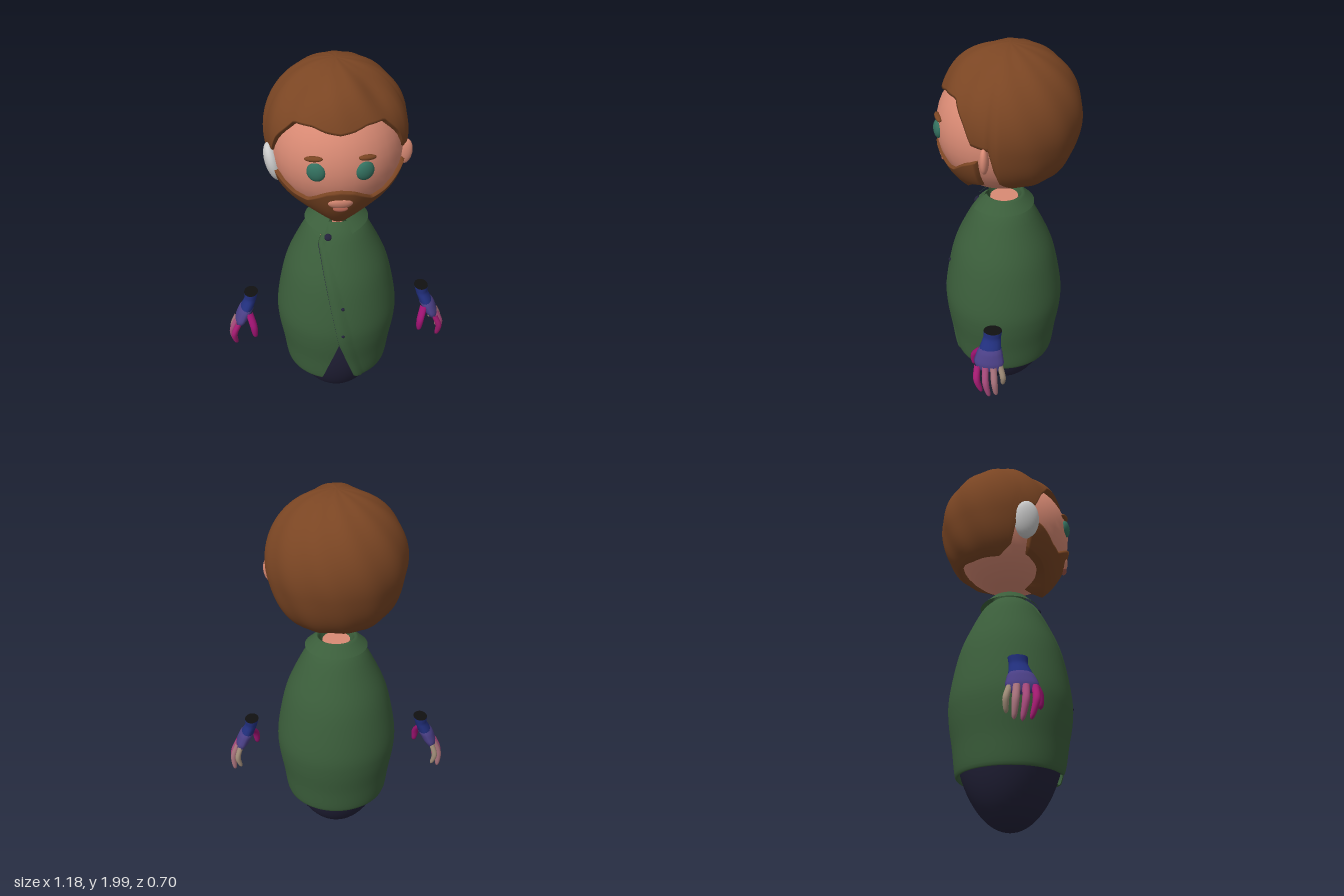
import * as THREE from 'three';
import { mergeVertices } from 'three/addons/utils/BufferGeometryUtils.js';
import { ParametricGeometry } from 'three/addons/geometries/ParametricGeometry.js';

const mat = (color, side = THREE.FrontSide) => new THREE.MeshStandardMaterial({ color, side });
const HAIR = 0x7a4523, SKIN = 0xd98a74, GREEN = 0x3b5e3b, NAVY = 0x23223a;
const PI = Math.PI;

// Piecewise-linear lookup in a table of [key, value] pairs with rising keys
function lookup(table, k) {
  if (k <= table[0][0]) return table[0][1];
  for (let i = 1; i < table.length; i++) {
    const [a, va] = table[i - 1], [b, vb] = table[i];
    if (k <= b) return va + (vb - va) * (k - a) / (b - a);
  }
  return table[table.length - 1][1];
}

// Smooth surface from fn(u, v) -> [x, y, z]
function surface(fn, nu, nv) {
  const g = new ParametricGeometry((u, v, p) => p.set(...fn(u, v)), nu, nv);
  g.deleteAttribute('normal');
  g.deleteAttribute('uv');
  const m = mergeVertices(g, 1e-5);
  m.computeVertexNormals();
  return m;
}

// Point at azimuth a (from the front) and elevation e around a centre
const polar = (c, a, e, r) => [
  c[0] + r * Math.cos(e) * Math.sin(a), c[1] + r * Math.sin(e), c[2] + r * Math.cos(e) * Math.cos(a)];

function add(parent, name, geo, material) {
  const m = new THREE.Mesh(geo, material);
  m.name = name;
  parent.add(m);
  return m;
}

function ellipsoid(parent, name, pos, radii, color, rot = [0, 0, 0]) {
  const m = add(parent, name, new THREE.SphereGeometry(1, 32, 20), mat(color));
  m.position.set(...pos);
  m.scale.set(...radii);
  m.rotation.set(...rot);
  return m;
}

// Downward limb with oval level sections; each point is [x, y, z, rx, rz]
function limb(points, nv = 16) {
  const path = new THREE.CatmullRomCurve3(points.map(p => new THREE.Vector3(p[0], p[1], p[2])));
  const rx = points.map((p, i) => [i / (points.length - 1), p[3]]);
  const rz = points.map((p, i) => [i / (points.length - 1), p[4]]);
  return surface((u, v) => {
    const p = path.getPoint(v), a = -u * 2 * PI, tip = Math.sqrt(1 - v ** 10);
    return [p.x + Math.sin(a) * lookup(rx, v) * tip, p.y, p.z + Math.cos(a) * lookup(rz, v) * tip];
  }, 14, nv);
}

function buildHair() {
  const c = [0, 1.655, -0.01];
  // hairline: elevation of the lower rim by azimuth from the front
  const rim = [[0, 0.36], [0.2, 0.39], [0.4, 0.45], [0.72, 0.45], [0.98, 0.16], [1.1, -0.1], [1.36, -0.12],
    [1.46, -0.75], [1.7, -0.93], [2.4, -0.92], [PI, -0.85]];
  return surface((u, v) => {
    const a = (u * 2 - 1) * PI, s = Math.abs(a), t = Math.max(0, (v - 0.05) / 0.95);
    const low = lookup(rim, s), e = low + (PI / 2 - low) * t;
    let r = 0.338 + 0.024 * THREE.MathUtils.smoothstep(-e, 0.2, 0.9);
    r += 0.014 * Math.exp(-((a / 0.5) ** 2) - ((e - 0.85) / 0.4) ** 2);   // front quiff
    r -= 0.016 * Math.exp(-(((s - 0.85) / 0.3) ** 2) - ((e - 0.85) / 0.35) ** 2);
    r += 0.003 * Math.sin(a * 11 + e * 4) * Math.cos(e);                   // strands
    return polar(c, a, e, 0.27 + (r - 0.27) * Math.min(1, v / 0.05));
  }, 120, 40);
}

function buildBeard(c) {
  const top = [[0, -0.26], [0.2, -0.3], [0.36, -0.4], [0.55, -0.52], [0.8, -0.45], [1.05, -0.27], [1.32, -0.14]];
  const bottom = [[0, -1.13], [0.3, -1.08], [0.6, -0.93], [0.9, -0.78], [1.32, -0.64]];
  return surface((u, v) => {
    const a = (u * 2 - 1) * 1.32, s = Math.abs(a);
    const hi = lookup(top, s), lo = lookup(bottom, s);
    const t = THREE.MathUtils.clamp((v - 0.12) / 0.8, 0, 1);
    let e = lo + (hi - lo) * t;
    let r = 0.329 + 0.056 * Math.exp(-((s / 0.5) ** 2)) * (1 - t) ** 1.5;
    if (v < 0.12) { const k = 1 - v / 0.12; e -= 0.28 * k; r -= (r - 0.29) * k; }  // underside
    if (v > 0.92) r -= (r - 0.3) * (v - 0.92) / 0.08;
    if (u === 0 || u === 1) r = 0.3;
    return polar(c, a, e, r);
  }, 64, 25);
}

function buildHead() {
  const head = new THREE.Group();
  head.name = 'head';
  const c = [0, 1.595, 0.03];
  ellipsoid(head, 'face', c, [0.312, 0.315, 0.315], SKIN);
  add(head, 'hair', buildHair(), mat(HAIR, THREE.DoubleSide));
  add(head, 'beard', buildBeard(c), mat(HAIR, THREE.DoubleSide));
  // mouth opening in the beard
  ellipsoid(head, 'mouth', [0, 1.437, 0.312], [0.06, 0.038, 0.024], SKIN, [0.45, 0, 0]);
  ellipsoid(head, 'lip', [0, 1.405, 0.318], [0.035, 0.012, 0.014], 0xa85c4c, [0.5, 0, 0]);
  for (const s of [-1, 1]) {
    ellipsoid(head, 'eye', [s * 0.108, 1.605, 0.318], [0.044, 0.046, 0.024], 0x33705f, [0, s * 0.35, 0]);
    ellipsoid(head, 'eyebrow', [s * 0.118, 1.67, 0.315], [0.043, 0.013, 0.016], HAIR, [-0.2, s * 0.38, s * -0.05]);
  }
  ellipsoid(head, 'leftEar', [0.318, 1.557, 0.08], [0.036, 0.066, 0.022], SKIN, [0, 0, -0.08]);
  ellipsoid(head, 'rightEarPiece', [-0.297, 1.535, 0.095], [0.04, 0.1, 0.065], 0xcccccc, [0, 0, 0.25]);
  return head;
}

function buildJacket() {
  const profile = new THREE.SplineCurve([[0.24, 0.285], [0.272, 0.258], [0.293, 0.4], [0.313, 0.53], [0.316, 0.64],
    [0.292, 0.79], [0.258, 0.92], [0.2, 1.05], [0.15, 1.14], [0.1, 1.19]].map(p => new THREE.Vector2(...p)));
  const seam = [[0.55, -0.005], [0.95, -0.075], [1.1, -0.1], [1.2, -0.06]];
  return surface((u, v) => {
    const { x: r, y } = profile.getPoint(v);
    // closed along a slanting seam above, spread into a notch below
    const notch = Math.max(0, 0.55 - y) * 0.3;
    const mid = lookup(seam, y);
    const start = Math.asin(THREE.MathUtils.clamp((mid + notch) / r, -0.9, 0.9));
    const end = 2 * PI + Math.asin(THREE.MathUtils.clamp((mid - notch) / r, -0.9, 0.9));
    const a = start + (end - start) * u;
    const k = r + (u === 0 ? -0.004 : u < 0.03 ? 0.006 : 0);   // overlapping front edge
    return [k * Math.sin(a), y, 0.025 + 0.97 * k * Math.cos(a)];
  }, 120, 54);
}

function buildCollar() {
  const radius = [[0, 0.08], [0.4, 0.092], [0.5, 0.1], [1, 0.16]];
  const height = [[0, 1.165], [0.4, 1.215], [0.5, 1.22], [1, 1.165]];
  return surface((u, v) => {
    const gap = 0.3 + 0.12 * v, a = gap + u * 2 * (PI - gap);
    const point = Math.abs(2 * u - 1) ** 8 * Math.max(0, v - 0.5);  // front tips
    const r = lookup(radius, v) + 0.02 * point;
    return [r * Math.sin(a), lookup(height, v) - 0.03 * point, 0.022 + 0.95 * r * Math.cos(a)];
  }, 48, 10);
}

function buildHand() {
  const hand = new THREE.Group();
  add(hand, 'wrist', limb([[0.458, 0.692, 0.035, 0.037, 0.046], [0.463, 0.655, 0.038, 0.032, 0.043],
    [0.485, 0.6, 0.046, 0.036, 0.056], [0.49, 0.57, 0.048, 0.03, 0.05]]), mat(0x22307f));
  add(hand, 'palm', limb([[0.475, 0.625, 0.042, 0.026, 0.04], [0.492, 0.59, 0.047, 0.041, 0.062],
    [0.515, 0.54, 0.05, 0.037, 0.076], [0.535, 0.485, 0.045, 0.02, 0.066]]), mat(0x4a3f85));
  const digits = [
    ['thumb', 0x9c1270, [0.475, 0.59, 0.085], [0.452, 0.525, 0.128], [0.445, 0.45, 0.135], 0.02],
    ['indexFinger', 0xa81c74, [0.53, 0.53, 0.105], [0.56, 0.455, 0.108], [0.555, 0.365, 0.085], 0.017],
    ['middleFinger', 0xa84a7c, [0.54, 0.53, 0.065], [0.573, 0.45, 0.062], [0.573, 0.352, 0.045], 0.017],
    ['ringFinger', 0xa8727c, [0.54, 0.53, 0.025], [0.57, 0.45, 0.018], [0.568, 0.36, 0.01], 0.017],
    ['littleFinger', 0xa08c78, [0.525, 0.53, -0.005], [0.543, 0.465, -0.022], [0.528, 0.4, -0.02], 0.015],
  ];
  for (const [name, color, base, middle, tip, r] of digits)
    add(hand, name, limb([[...base, r, r], [...middle, r, r], [...tip, r * 0.75, r * 0.75]]), mat(color));
  const cap = add(hand, 'wristOpening', new THREE.CircleGeometry(1, 24), mat(0x111111));
  cap.rotation.x = -PI / 2;
  cap.scale.set(0.037, 0.046, 1);
  cap.position.set(0.458, 0.692, 0.035);
  return hand;
}

export function createModel() {
  const model = new THREE.Group();
  model.name = 'figure';
  model.add(buildHead());

  // egg-shaped lower body inside the jacket
  const body = add(model, 'body', new THREE.SphereGeometry(1, 48, 32, 0, 2 * PI, 0.6, PI - 0.6), mat(NAVY));
  body.position.set(0, 0.6, 0.022);
  body.scale.set(0.298, 0.595, 0.287);
  const neck = add(model, 'neck', new THREE.CylinderGeometry(0.07, 0.085, 0.14, 32), mat(SKIN));
  neck.position.set(0, 1.125, 0.022);

  add(model, 'jacket', buildJacket(), mat(GREEN, THREE.DoubleSide));
  add(model, 'collar', buildCollar(), mat(GREEN, THREE.DoubleSide));
  for (const [x, y, z, r] of [[-0.05, 1.135, 0.17, 0.018], [0.015, 0.785, 0.313, 0.009], [0.015, 0.62, 0.336, 0.009]])
    ellipsoid(model, 'button', [x, y, z], [r, r, 0.008], NAVY, [y > 1 ? -0.7 : -0.1, 0, 0]);

  for (const s of [1, -1]) {
    const hand = buildHand();
    hand.name = s > 0 ? 'leftHand' : 'rightHand';
    hand.scale.x = s;
    model.add(hand);
  }
  return model;
}
